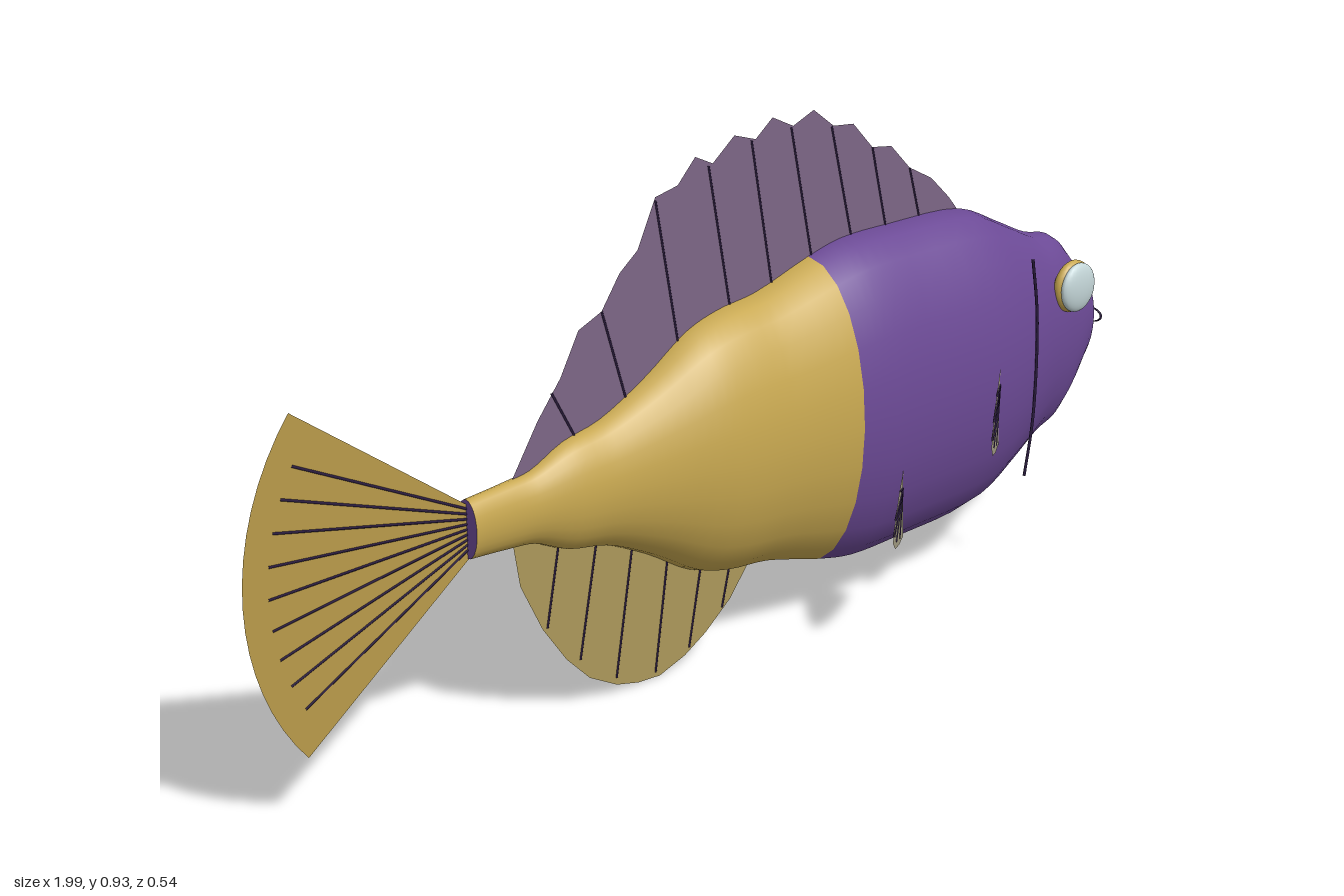
import * as THREE from 'three';

const mat = (name, color, side = THREE.FrontSide) => {
  const m = new THREE.MeshStandardMaterial({ color, side });
  m.name = name;
  return m;
};
const V = (x, y, z = 0) => new THREE.Vector3(x, y, z);
const MID = 0.39;

export function createModel() {
  const purple = mat('purple skin', 0x6c4a96);
  const gold = mat('gold skin', 0xc8a850);
  const tailGold = mat('gold tail', 0xb89a4a, THREE.DoubleSide);
  const dorsalMat = mat('mauve fin', 0x7d6686, THREE.DoubleSide);
  const analMat = mat('olive fin', 0xac985a, THREE.DoubleSide);
  const sideMat = mat('pale fin', 0xa39c82, THREE.DoubleSide);
  const dark = mat('dark line', 0x2c1d40);
  const white = mat('eye white', 0xc4d6d8);

  const fish = new THREE.Group();
  fish.name = 'fish';
  const add = (name, geo, m, parent = fish) => {
    const mesh = new THREE.Mesh(geo, m);
    mesh.name = name;
    parent.add(mesh);
    return mesh;
  };
  // Thin fin ray between two points
  const ray = (name, a, b, r, parent = fish) =>
    add(name, new THREE.TubeGeometry(new THREE.LineCurve3(a, b), 1, r, 5), dark, parent);

  // Body: elliptical sections as [x, half height, half width]
  const sections = [
    [-0.58, 0.05, 0.025], [-0.5, 0.056, 0.028], [-0.45, 0.062, 0.034], [-0.38, 0.092, 0.05],
    [-0.3, 0.109, 0.06], [-0.2, 0.155, 0.082], [-0.1, 0.214, 0.108], [-0.03, 0.234, 0.115],
    [0.06, 0.245, 0.121], [0.19, 0.281, 0.138], [0.27, 0.297, 0.145], [0.4, 0.298, 0.146],
    [0.59, 0.288, 0.146], [0.7, 0.242, 0.124], [0.78, 0.206, 0.1], [0.85, 0.188, 0.08],
    [0.9, 0.142, 0.065], [0.94, 0.1, 0.048], [0.97, 0.077, 0.032], [0.987, 0.035, 0.016], [0.991, 0, 0],
  ];
  const spline = new THREE.CatmullRomCurve3(sections.map((s) => V(...s)));
  const SUB = 4, SIDES = 24, rings = (sections.length - 1) * SUB;
  const pos = [], index = [];
  for (let i = 0; i <= rings; i++) {
    const p = spline.getPoint(i / rings);
    for (let j = 0; j < SIDES; j++) {
      const a = (j / SIDES) * Math.PI * 2;
      pos.push(p.x, MID + p.y * Math.cos(a), p.z * Math.sin(a));
    }
  }
  for (let i = 0; i < rings; i++) {
    for (let j = 0; j < SIDES; j++) {
      const a = i * SIDES + j, b = i * SIDES + ((j + 1) % SIDES);
      index.push(a, b, a + SIDES, b, b + SIDES, a + SIDES);
    }
  }
  const bodyGeo = new THREE.BufferGeometry();
  bodyGeo.setAttribute('position', new THREE.Float32BufferAttribute(pos, 3));
  bodyGeo.setIndex(index);
  bodyGeo.computeVertexNormals();
  const split = 9 * SUB * SIDES * 6;
  bodyGeo.addGroup(0, split, 0);
  bodyGeo.addGroup(split, index.length - split, 1);
  add('body', bodyGeo, [gold, purple]);
  const cap = add('tailRootCap', new THREE.CircleGeometry(1, SIDES), purple);
  cap.scale.set(0.025, 0.05, 1);
  cap.rotation.y = -Math.PI / 2;
  cap.position.set(-0.58, MID, 0);

  // Upright fins: flat outlines on the centre plane
  const flatFin = (name, pts, m) =>
    add(name, new THREE.ShapeGeometry(new THREE.Shape(pts.map((p) => new THREE.Vector2(...p)))), m);

  flatFin('dorsalFin', [
    [-0.49, 0.44], [-0.43, 0.53], [-0.38, 0.59], [-0.34, 0.66], [-0.29, 0.68], [-0.25, 0.735], [-0.21, 0.765],
    [-0.17, 0.845], [-0.12, 0.855], [-0.08, 0.895], [-0.04, 0.877], [0.01, 0.915], [0.06, 0.9], [0.1, 0.93],
    [0.15, 0.907], [0.2, 0.926], [0.25, 0.89], [0.3, 0.885], [0.35, 0.835], [0.4, 0.828], [0.45, 0.78],
    [0.51, 0.75], [0.56, 0.705], [0.6, 0.66], [0.3, 0.6], [0, 0.55], [-0.3, 0.44],
  ], dorsalMat);
  [[-0.35, 0.48, -0.4, 0.57], [-0.24, 0.52, -0.29, 0.68], [-0.12, 0.58, -0.17, 0.84], [0, 0.62, -0.05, 0.875],
    [0.1, 0.64, 0.05, 0.9], [0.2, 0.66, 0.145, 0.906], [0.3, 0.68, 0.245, 0.89], [0.39, 0.68, 0.35, 0.835],
    [0.48, 0.68, 0.45, 0.78]].forEach(([a, b, c, d]) => ray('dorsalRay', V(a, b), V(c, d), 0.0022));

  flatFin('analFin', [
    [-0.49, 0.35], [-0.475, 0.26], [-0.43, 0.17], [-0.38, 0.1], [-0.33, 0.05], [-0.27, 0.017], [-0.22, 0.004],
    [-0.17, 0], [-0.11, 0.018], [-0.06, 0.045], [0, 0.09], [0.05, 0.15], [0, 0.2], [-0.2, 0.28], [-0.35, 0.33],
  ], analMat);
  [[-0.39, 0.32, -0.42, 0.17], [-0.31, 0.29, -0.35, 0.09], [-0.23, 0.26, -0.27, 0.03], [-0.15, 0.21, -0.18, 0.01],
    [-0.07, 0.18, -0.1, 0.03], [0, 0.16, -0.02, 0.08]].forEach(([a, b, c, d]) => ray('analRay', V(a, b), V(c, d), 0.0022));

  // Tail fan with radiating rays
  const tail = [[-0.57, 0.345], [-0.57, 0.425]];
  for (let i = 0; i <= 16; i++) {
    const a = 0.69 - (i / 16) * 1.38;
    tail.push([-0.565 - 0.435 * Math.cos(a), 0.388 + 0.435 * Math.sin(a)]);
  }
  flatFin('tailFin', tail, tailGold);
  for (let i = 0; i < 9; i++) {
    const a = -0.54 + i * 0.135;
    ray('tailRay', V(-0.575, MID + a * 0.06),
      V(-0.575 - 0.38 * Math.cos(a), 0.388 + 0.38 * Math.sin(a)), 0.0022);
  }

  // Paired side fins: fans sweeping outwards and back from a root point
  const sideFin = (name, side, root, rim) => {
    const g = new THREE.Group();
    g.name = name;
    fish.add(g);
    const at = ([x, y]) => V(x, y, side * (0.142 + (root[0] - x) * 0.72));
    const pts = [root, ...rim].map(at);
    const geo = new THREE.BufferGeometry().setFromPoints(pts);
    const idx = [];
    for (let i = 1; i < rim.length; i++) idx.push(0, i, i + 1);
    geo.setIndex(idx);
    geo.computeVertexNormals();
    add(name + 'Web', geo, sideMat, g);
    for (let i = 2; i < rim.length; i++) {
      ray(name + 'Ray', pts[0], pts[0].clone().lerp(pts[i], 0.9), 0.0022, g);
    }
  };

  for (const side of [1, -1]) {
    const label = side > 0 ? 'front' : 'back';
    sideFin(label + 'PectoralFin', side, [0.55, 0.385],
      [[0.56, 0.425], [0.46, 0.395], [0.395, 0.37], [0.372, 0.342], [0.41, 0.31], [0.49, 0.28], [0.585, 0.258]]);
    sideFin(label + 'PelvicFin', side, [0.288, 0.255],
      [[0.292, 0.288], [0.235, 0.272], [0.175, 0.242], [0.155, 0.218], [0.19, 0.19], [0.25, 0.167], [0.312, 0.152]]);

    // Eye: gold socket with a pale lens
    const socket = add(label + 'EyeSocket', new THREE.SphereGeometry(0.05, 24, 16), gold);
    socket.scale.z = 0.42;
    socket.position.set(0.82, 0.5, side * 0.09);
    const lens = add(label + 'EyeLens', new THREE.SphereGeometry(0.047, 24, 16), white);
    lens.scale.z = 0.32;
    lens.position.set(0.82, 0.5, side * 0.103);

    // Gill line
    const gill = new THREE.CatmullRomCurve3(
      [V(0.64, 0.6), V(0.658, 0.5), V(0.663, 0.39), V(0.658, 0.28), V(0.64, 0.18)].map((p) => p.setZ(side * 0.135)));
    add(label + 'GillLine', new THREE.TubeGeometry(gill, 20, 0.003, 5), dark);
  }

  // Mouth ring
  const mouth = add('mouth', new THREE.TorusGeometry(0.034, 0.0025, 6, 28), dark);
  mouth.scale.y = 0.45;
  mouth.rotation.y = Math.PI / 2;
  mouth.position.set(0.99, 0.388, 0);

  return fish;
}
